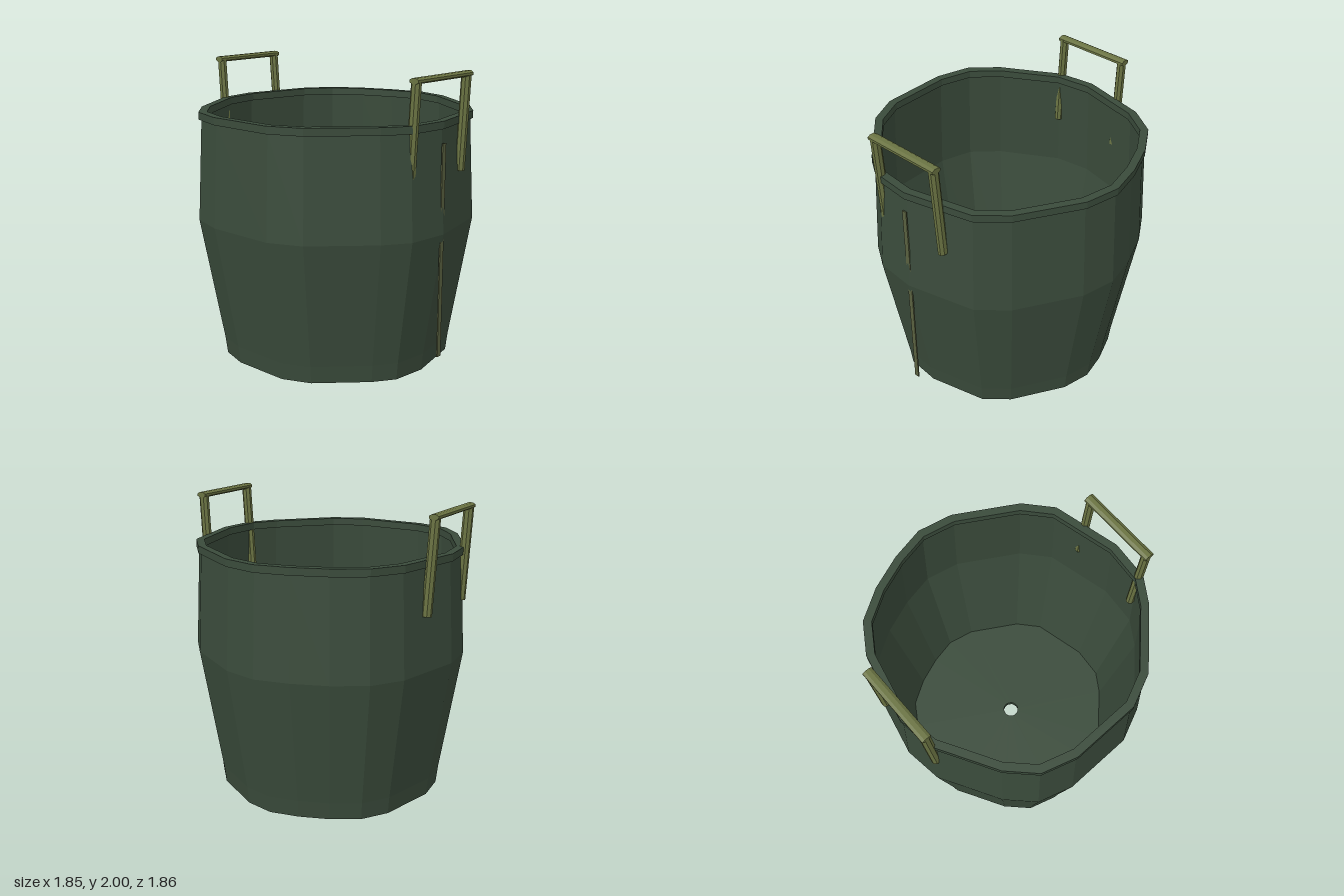
import * as THREE from 'three';

const fabric = new THREE.MeshStandardMaterial({ name: 'dark green fabric', color: 0x3a4b3b, flatShading: true });
const webbing = new THREE.MeshStandardMaterial({ name: 'olive webbing', color: 0x6a7342, flatShading: true });
const stitch = new THREE.MeshStandardMaterial({ name: 'dull olive seam', color: 0x59603f, flatShading: true });

// Uneven outline at the widest height, as [x, z], running from +x towards +z
const outline = [
  [0.92, 0], [0.87, 0.24], [0.63, 0.65], [0.45, 0.81], [-0.02, 0.925], [-0.3, 0.9],
  [-0.47, 0.79], [-0.81, 0.46], [-0.91, 0.24], [-0.92, -0.24], [-0.85, -0.48], [-0.68, -0.65],
  [-0.47, -0.77], [-0.28, -0.88], [-0.02, -0.915], [0.45, -0.81], [0.65, -0.68], [0.78, -0.47], [0.87, -0.235],
];

// One ring of the outline, scaled so that its widest reach is r
const ring = (r, y) => outline.map(([x, z]) => [x * r / 0.92, y, z * r / 0.92]);

// Round ring for the drain hole
const holeRing = (r, y) => outline.map(([x, z]) => {
  const d = Math.hypot(x, z);
  return [-0.02 + r * x / d, y, r * z / d];
});

// Join consecutive rings with quads
function loft(rings) {
  const pos = [];
  for (let k = 0; k < rings.length - 1; k++) {
    const a = rings[k], b = rings[k + 1];
    for (let i = 0; i < a.length; i++) {
      const j = (i + 1) % a.length;
      pos.push(...a[i], ...b[i], ...b[j], ...a[i], ...b[j], ...a[j]);
    }
  }
  const g = new THREE.BufferGeometry();
  g.setAttribute('position', new THREE.Float32BufferAttribute(pos, 3));
  g.computeVertexNormals();
  return g;
}

function mesh(name, geometry, material, parent) {
  const m = new THREE.Mesh(geometry, material);
  m.name = name;
  parent.add(m);
  return m;
}

// Eight-sided strap between two points; flatness is its thickness relative to its width in z
function strap(name, from, to, radius, flatness, parent) {
  const a = new THREE.Vector3(...from), b = new THREE.Vector3(...to);
  const g = new THREE.CylinderGeometry(radius, radius, a.distanceTo(b), 8);
  g.rotateY(Math.PI / 8);
  g.scale(flatness, 1, 1);
  const m = mesh(name, g, webbing, parent);
  m.position.copy(a).add(b).multiplyScalar(0.5);
  m.quaternion.setFromUnitVectors(new THREE.Vector3(0, 1, 0), b.sub(a).normalize());
}

// Grip and two legs that lean in and pierce the wall
function handle(name, side) {
  const g = new THREE.Group();
  g.name = name;
  for (const [bottom, top] of [[-0.273, -0.273], [0.24, 0.231]]) {
    strap('handleLeg', [bottom, 1.35, side * 0.854], [top, 1.985, side * 0.891], 0.035, 0.83, g);
  }
  strap('handleGrip', [-0.3, 1.981, side * 0.892], [0.26, 1.981, side * 0.892], 0.036, 0.56, g);
  return g;
}

export function createModel() {
  const model = new THREE.Group();
  model.name = 'planterBag';

  // Base and bulging wall up to the underside of the rim
  mesh('outerWall', loft([
    holeRing(0.055, 0), ring(0.77, 0), ring(0.784, 0.12), ring(0.927, 0.98), ring(0.892, 1.66),
  ]), fabric, model);

  // Folded rim standing slightly proud of the wall on both sides
  mesh('rim', loft([
    ring(0.892, 1.66), ring(0.91, 1.66), ring(0.91, 1.71), ring(0.855, 1.71), ring(0.855, 1.66), ring(0.873, 1.66),
  ]), fabric, model);

  // Lining that follows the wall, floor and drain hole
  mesh('liningAndFloor', loft([
    ring(0.873, 1.66), ring(0.905, 0.98), ring(0.73, 0.04), holeRing(0.055, 0.04), holeRing(0.055, 0),
  ]), fabric, model);

  // Straight seam strip down the front, covered by the bulge at mid height
  mesh('frontSeam', new THREE.BoxGeometry(0.034, 1.43, 0.009), stitch, model).position.set(-0.021, 0.855, 0.918);

  model.add(handle('frontHandle', 1), handle('backHandle', -1));
  return model;
}
